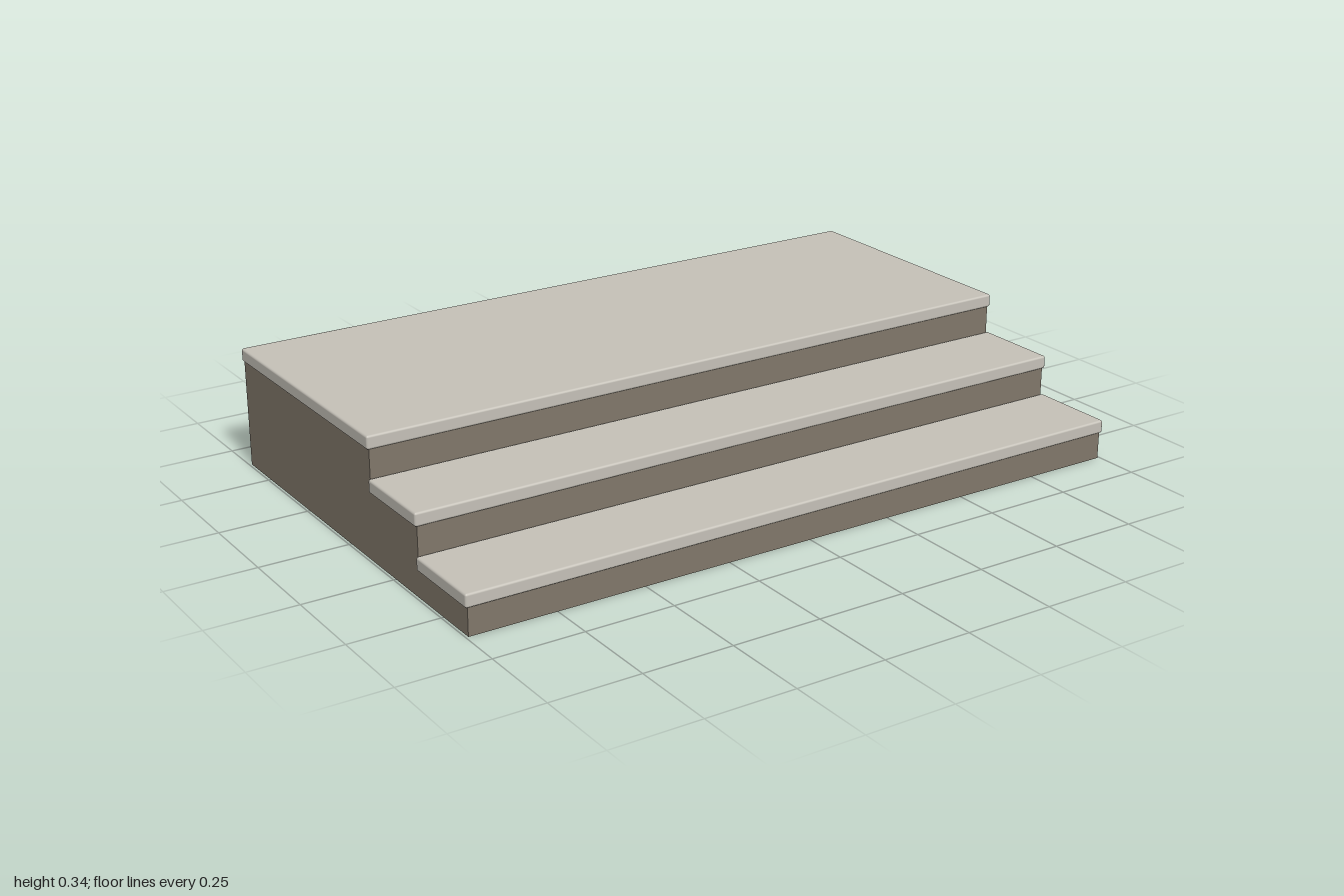
import * as THREE from 'three';
import { RoundedBoxGeometry } from 'three/addons/geometries/RoundedBoxGeometry.js';

export function createModel() {
  const group = new THREE.Group();
  group.name = 'steps';
  const baseStone = new THREE.MeshStandardMaterial({ color: 0x80776a });
  baseStone.name = 'base stone';
  const slabStone = new THREE.MeshStandardMaterial({ color: 0xc4c0b7 });
  slabStone.name = 'slab stone';

  const back = -0.628, width = 1.986, slabThickness = 0.037, lip = 0.005;
  // Each step: top of its riser, front face and back end of its tread
  const steps = [
    { name: 'lowerTread', y: 0.076, front: 0.623, back: 0.378 },
    { name: 'middleTread', y: 0.191, front: 0.378, back: 0.132 },
    { name: 'landing', y: 0.306, front: 0.132, back },
  ];

  // Stepped base: side profile (z, y) extruded across the width
  const profile = new THREE.Shape();
  profile.moveTo(back, 0);
  profile.lineTo(steps[0].front, 0);
  for (const s of steps) {
    profile.lineTo(s.front, s.y);
    profile.lineTo(s.back, s.y);
  }
  profile.closePath();
  const baseGeometry = new THREE.ExtrudeGeometry(profile, { depth: width, bevelEnabled: false });
  baseGeometry.translate(0, 0, -width / 2).rotateY(-Math.PI / 2);
  const base = new THREE.Mesh(baseGeometry, baseStone);
  base.name = 'steppedBase';
  group.add(base);

  // Softened slabs overhanging each riser
  for (const s of steps) {
    const front = s.front + lip;
    const slab = new THREE.Mesh(
      new RoundedBoxGeometry(2, slabThickness, front - s.back, 2, 0.006), slabStone);
    slab.position.set(0, s.y + slabThickness / 2, (front + s.back) / 2);
    slab.name = s.name;
    group.add(slab);
  }
  return group;
}
